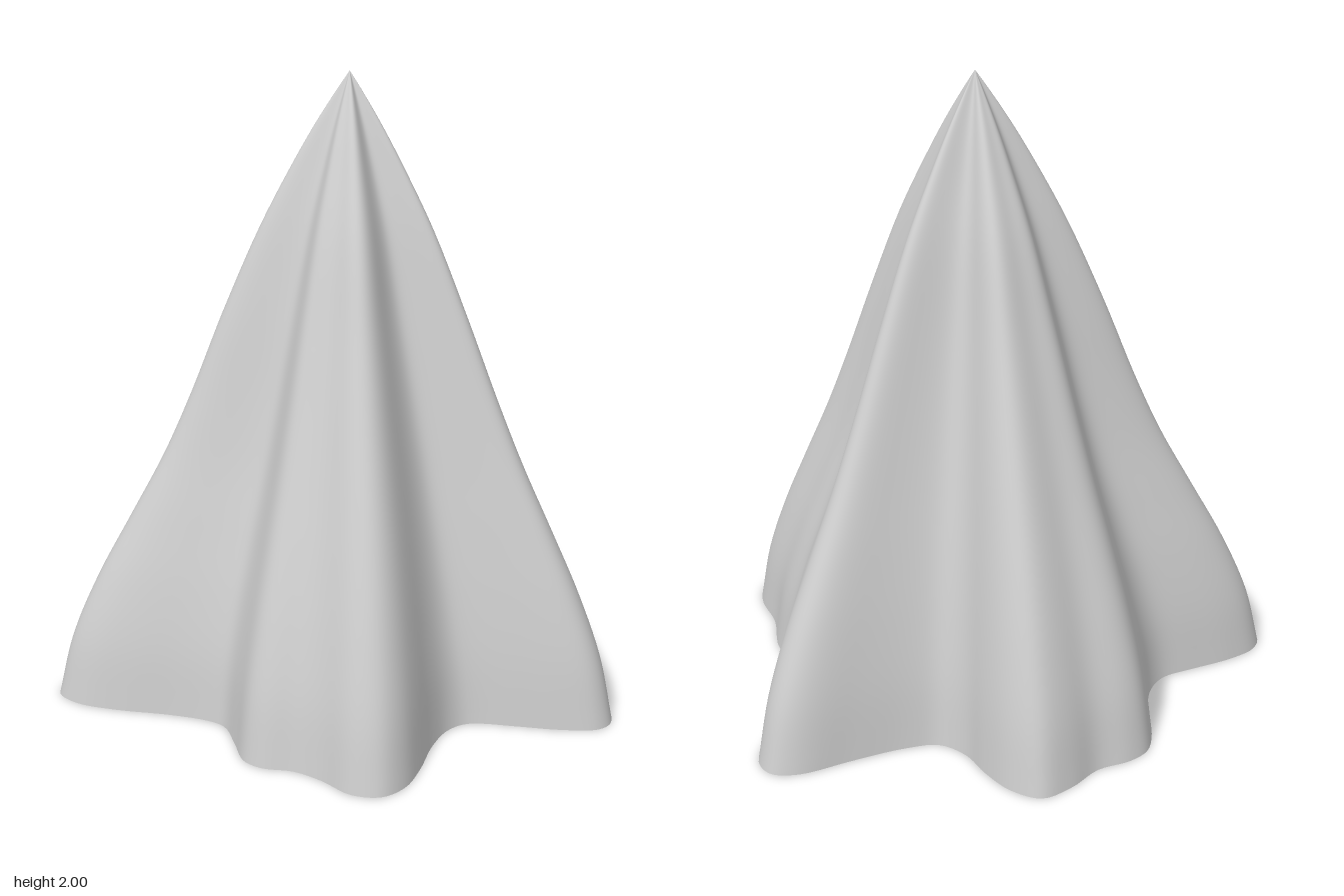
import * as THREE from 'three';

// Wavy hem of the cloth as x, z pairs
const HEM = [
  -0.02, -0.88, 0.07, -0.83, 0.14, -0.73, 0.19, -0.63, 0.27, -0.565, 0.375, -0.575,
  0.54, -0.63, 0.7, -0.69, 0.785, -0.68, 0.825, -0.61, 0.8, -0.49, 0.75, -0.35,
  0.755, -0.265, 0.775, -0.16, 0.755, -0.015, 0.79, 0.12, 0.805, 0.28, 0.85, 0.42,
  0.855, 0.51, 0.825, 0.58, 0.77, 0.605, 0.655, 0.58, 0.54, 0.535, 0.39, 0.485,
  0.315, 0.515, 0.24, 0.605, 0.165, 0.74, 0.095, 0.835, 0.015, 0.875, -0.07, 0.845,
  -0.14, 0.745, -0.21, 0.675, -0.3, 0.635, -0.345, 0.58, -0.355, 0.465, -0.37, 0.35,
  -0.415, 0.3, -0.53, 0.235, -0.695, 0.165, -0.81, 0.095, -0.86, 0.015, -0.83, -0.06,
  -0.74, -0.12, -0.6, -0.175, -0.495, -0.22, -0.44, -0.295, -0.41, -0.42, -0.4, -0.56,
  -0.37, -0.655, -0.31, -0.705, -0.205, -0.745, -0.115, -0.83,
];

// Height, spread of the side folds, spread of the front and back folds
const PROFILE = [
  [0, 1, 1], [0.2, 0.95, 0.952], [0.4, 0.86, 0.88], [0.6, 0.745, 0.795], [0.8, 0.63, 0.7],
  [1, 0.535, 0.6], [1.26, 0.425, 0.468], [1.525, 0.3, 0.335], [1.72, 0.19, 0.21],
  [1.84, 0.115, 0.127], [1.94, 0.045, 0.05], [2, 0, 0],
];

const APEX = new THREE.Vector3(0.105, 2, -0.01);
const AROUND = 260;
const ROWS = 55;

// Average each point a little with its neighbours
function soften(ring) {
  return ring.map((p, i) => {
    const before = ring[(i + AROUND - 1) % AROUND];
    const after = ring[(i + 1) % AROUND];
    return before.clone().add(after).multiplyScalar(0.5).lerp(p, 0.75);
  });
}

function drapeGeometry() {
  const points = [];
  for (let i = 0; i < HEM.length; i += 2) points.push(new THREE.Vector3(HEM[i], 0, HEM[i + 1]));
  let ring = new THREE.CatmullRomCurve3(points, true).getPoints(AROUND).slice(0, AROUND);
  const profile = new THREE.CatmullRomCurve3(
    PROFILE.map(([y, side, front]) => new THREE.Vector3(side, y, front))
  ).getPoints(ROWS);

  // Shrink the hem towards the apex row by row, with folds fading on the way up
  const positions = [];
  for (let r = 0; r < ROWS; r++) {
    const { x: side, y, z: front } = profile[r];
    for (const p of ring) {
      const dx = p.x - APEX.x;
      const dz = p.z - APEX.z;
      const s = THREE.MathUtils.lerp(side, front, (dz * dz) / (dx * dx + dz * dz));
      positions.push(APEX.x + dx * s, y, APEX.z + dz * s);
    }
    ring = soften(ring);
  }
  const tip = positions.length / 3;
  positions.push(APEX.x, APEX.y, APEX.z);

  const index = [];
  for (let r = 0; r < ROWS; r++) {
    for (let i = 0; i < AROUND; i++) {
      const a = r * AROUND + i;
      const b = r * AROUND + ((i + 1) % AROUND);
      if (r === ROWS - 1) index.push(b, a, tip);
      else index.push(b, a, a + AROUND, b, a + AROUND, b + AROUND);
    }
  }

  const geometry = new THREE.BufferGeometry();
  geometry.setAttribute('position', new THREE.Float32BufferAttribute(positions, 3));
  geometry.setIndex(index);
  geometry.computeVertexNormals();
  return geometry;
}

export function createModel() {
  const group = new THREE.Group();
  group.name = 'drapedCloth';

  const grey = new THREE.MeshStandardMaterial({ color: 0xcccccc, side: THREE.DoubleSide });
  grey.name = 'light grey cloth';

  // Hollow cloth, open at the bottom
  const cloth = new THREE.Mesh(drapeGeometry(), grey);
  cloth.name = 'cloth';
  group.add(cloth);
  return group;
}
